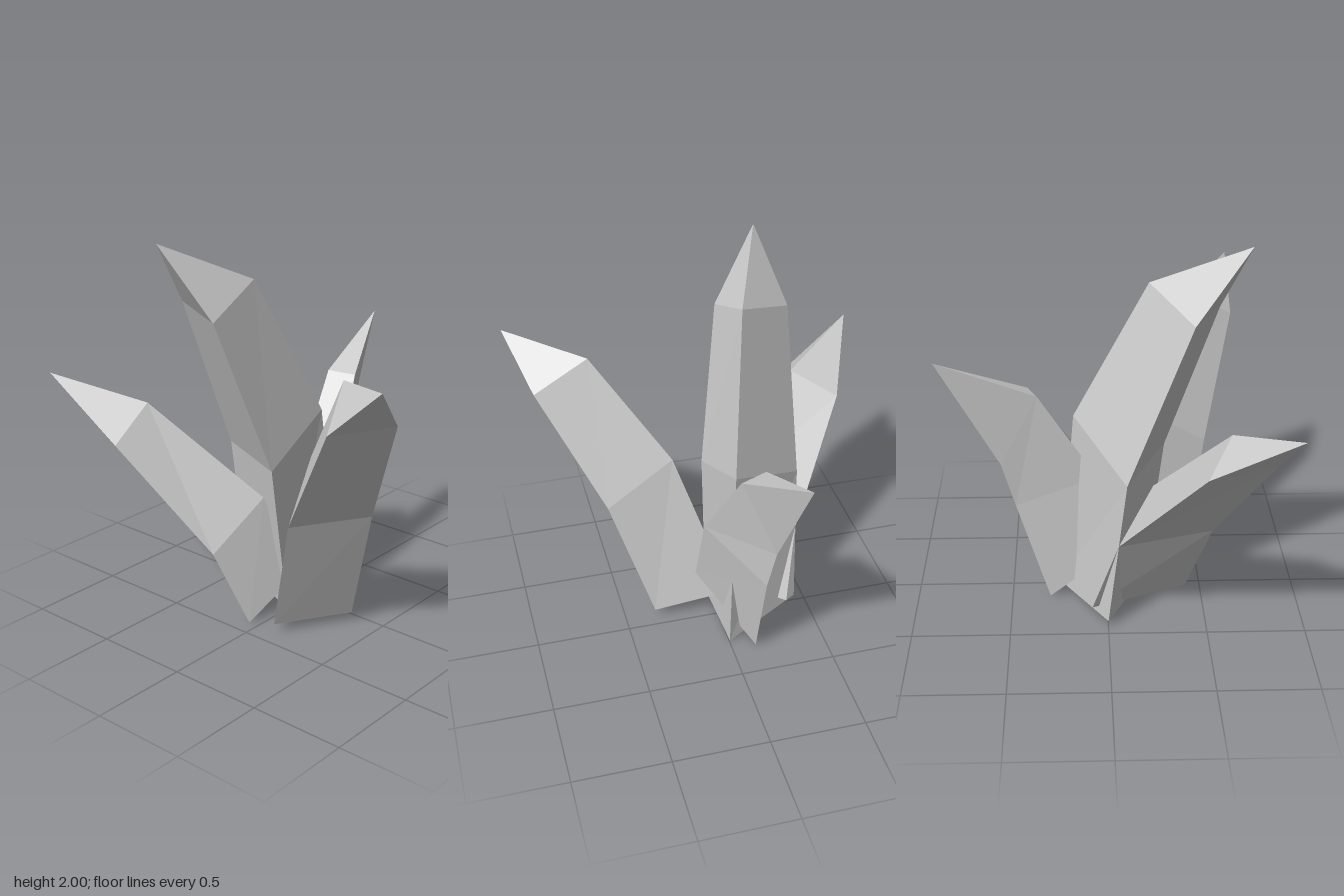
import * as THREE from 'three';

// Three-sided crystal shard: base, middle and shoulder rings (counter-clockwise from above), then a tip
function makeShard(name, rings, tip) {
  const pos = [];
  const tri = (a, b, c) => pos.push(...a, ...b, ...c);
  const last = rings.length - 1;
  for (let i = 0; i < 3; i++) {
    const j = (i + 1) % 3;
    for (let k = 0; k < last; k++) {
      const lo = rings[k], hi = rings[k + 1];
      tri(lo[i], lo[j], hi[j]);
      tri(lo[i], hi[j], hi[i]);
    }
    tri(rings[last][i], rings[last][j], tip);
  }
  tri(rings[0][0], rings[0][2], rings[0][1]); // base cap
  const geometry = new THREE.BufferGeometry();
  geometry.setAttribute('position', new THREE.Float32BufferAttribute(pos, 3));
  geometry.computeVertexNormals();
  const material = new THREE.MeshStandardMaterial({ color: 0xcccccc, flatShading: true });
  const mesh = new THREE.Mesh(geometry, material);
  mesh.name = name;
  return mesh;
}

export function createModel() {
  const group = new THREE.Group();
  group.name = 'crystalCluster';

  // Tall central shard
  group.add(makeShard('tallShard', [
    [[-0.44, 0.04, 0], [0.02, 0.02, 0.2], [0, 0.02, -0.25]],
    [[-0.46, 0.82, 0.09], [0.01, 0.83, 0.3], [-0.05, 1.02, -0.17]],
    [[-0.48, 1.65, 0.4], [-0.13, 1.63, 0.55], [-0.18, 1.77, 0.2]],
  ], [-0.37, 2, 0.67]));

  // Shard leaning to the model's left
  group.add(makeShard('leftShard', [
    [[0.12, 0.06, 0.42], [0.34, 0.055, 0.06], [-0.08, 0.13, 0.02]],
    [[0.32, 0.7, 0.54], [0.55, 0.7, 0.18], [0.19, 0.93, 0.21]],
    [[0.68, 1.3, 0.7], [0.86, 1.31, 0.42], [0.57, 1.47, 0.44]],
  ], [0.97, 1.56, 0.69]));

  // Shard leaning to the model's right
  group.add(makeShard('rightShard', [
    [[-0.05, 0.01, 0.42], [0.02, 0.2, 0.11], [-0.37, 0.08, -0.08]],
    [[-0.17, 0.41, 0.55], [-0.1, 0.64, 0.24], [-0.45, 0.48, 0.05]],
    [[-0.57, 0.98, 0.81], [-0.57, 1.145, 0.58], [-0.8, 1.02, 0.45]],
  ], [-0.97, 1.29, 0.86]));

  // Thin shard leaning backwards
  group.add(makeShard('backShard', [
    [[-0.11, 0.28, 0.07], [0.11, 0.27, 0.06], [-0.13, 0.005, -0.3]],
    [[-0.11, 0.7, -0.05], [0.1, 0.7, -0.1], [-0.13, 0.55, -0.47]],
    [[-0.15, 1.17, -0.35], [-0.01, 1.16, -0.4], [-0.155, 0.8, -0.54]],
  ], [-0.22, 1.38, -0.85]));

  return group;
}
